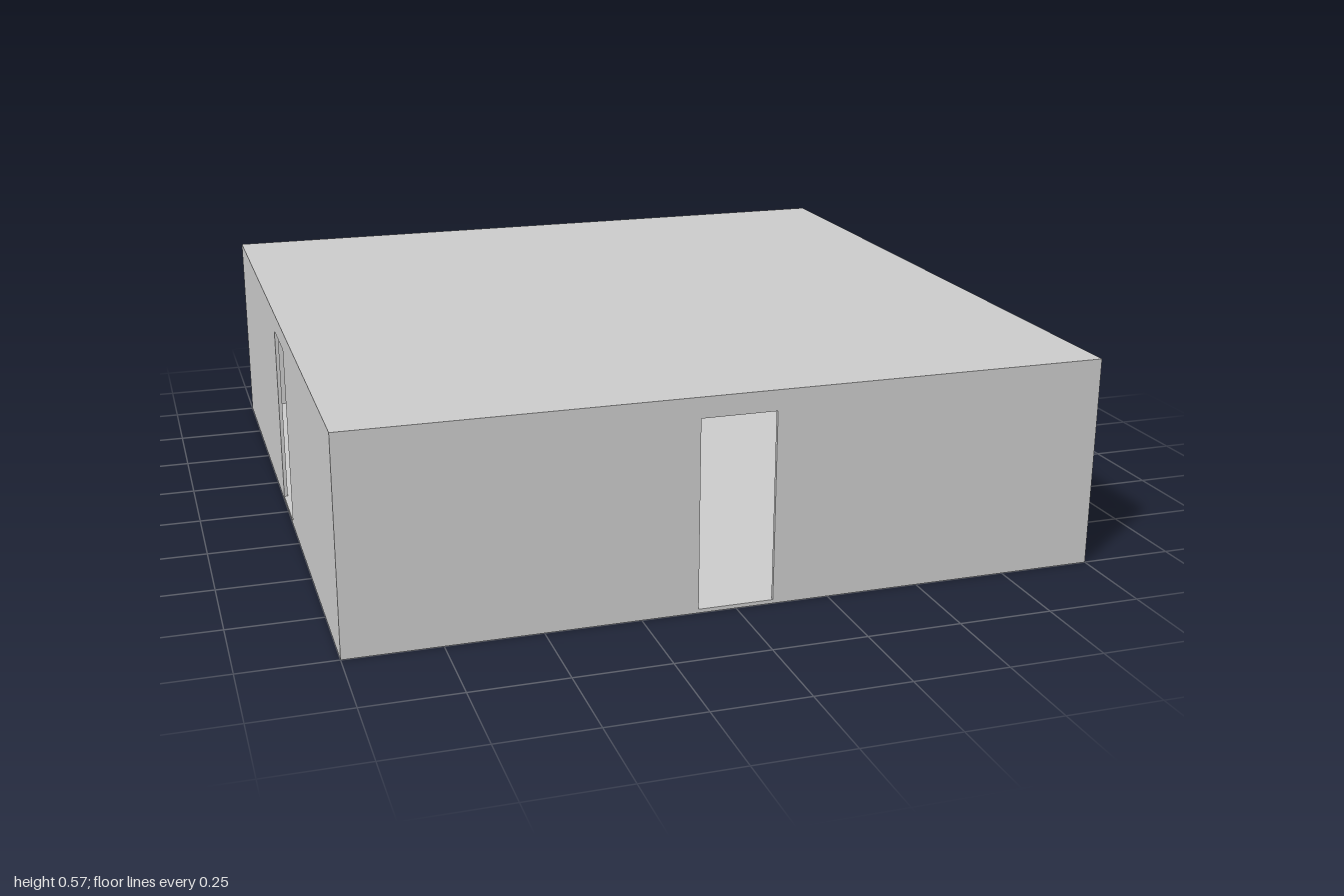
import * as THREE from 'three';

const SIZE = 2, HEIGHT = 0.57, SLAB = 0.01, ROOF = 0.004, WALL = 0.01;
const DOOR_HALF = 0.1, DOOR_TOP = 0.515;

export function createModel() {
  const group = new THREE.Group();
  const material = new THREE.MeshStandardMaterial({ color: 0xcccccc, flatShading: true });

  const add = (name, geometry) => {
    const mesh = new THREE.Mesh(geometry, material);
    mesh.name = name;
    group.add(mesh);
    return mesh;
  };

  // Floor and ceiling slabs
  add('floor', new THREE.BoxGeometry(SIZE, SLAB, SIZE)).position.y = SLAB / 2;
  add('ceiling', new THREE.BoxGeometry(SIZE, ROOF, SIZE)).position.y = HEIGHT - ROOF / 2;

  // Thin wall with a doorway cut up from the floor; outer face at z = 0
  const wallGeometry = (width) => {
    const w = width / 2, top = HEIGHT - ROOF;
    const shape = new THREE.Shape([
      [-w, SLAB], [-DOOR_HALF, SLAB], [-DOOR_HALF, DOOR_TOP], [DOOR_HALF, DOOR_TOP],
      [DOOR_HALF, SLAB], [w, SLAB], [w, top], [-w, top],
    ].map(([x, y]) => new THREE.Vector2(x, y)));
    return new THREE.ExtrudeGeometry(shape, { depth: WALL, bevelEnabled: false })
      .translate(0, 0, SIZE / 2 - WALL);
  };

  // Front and back walls run full width; side walls fit between them
  ['frontWall', 'leftWall', 'backWall', 'rightWall'].forEach((name, i) => {
    const width = i % 2 ? SIZE - 2 * WALL : SIZE;
    add(name, wallGeometry(width)).rotation.y = i * Math.PI / 2;
  });

  return group;
}
